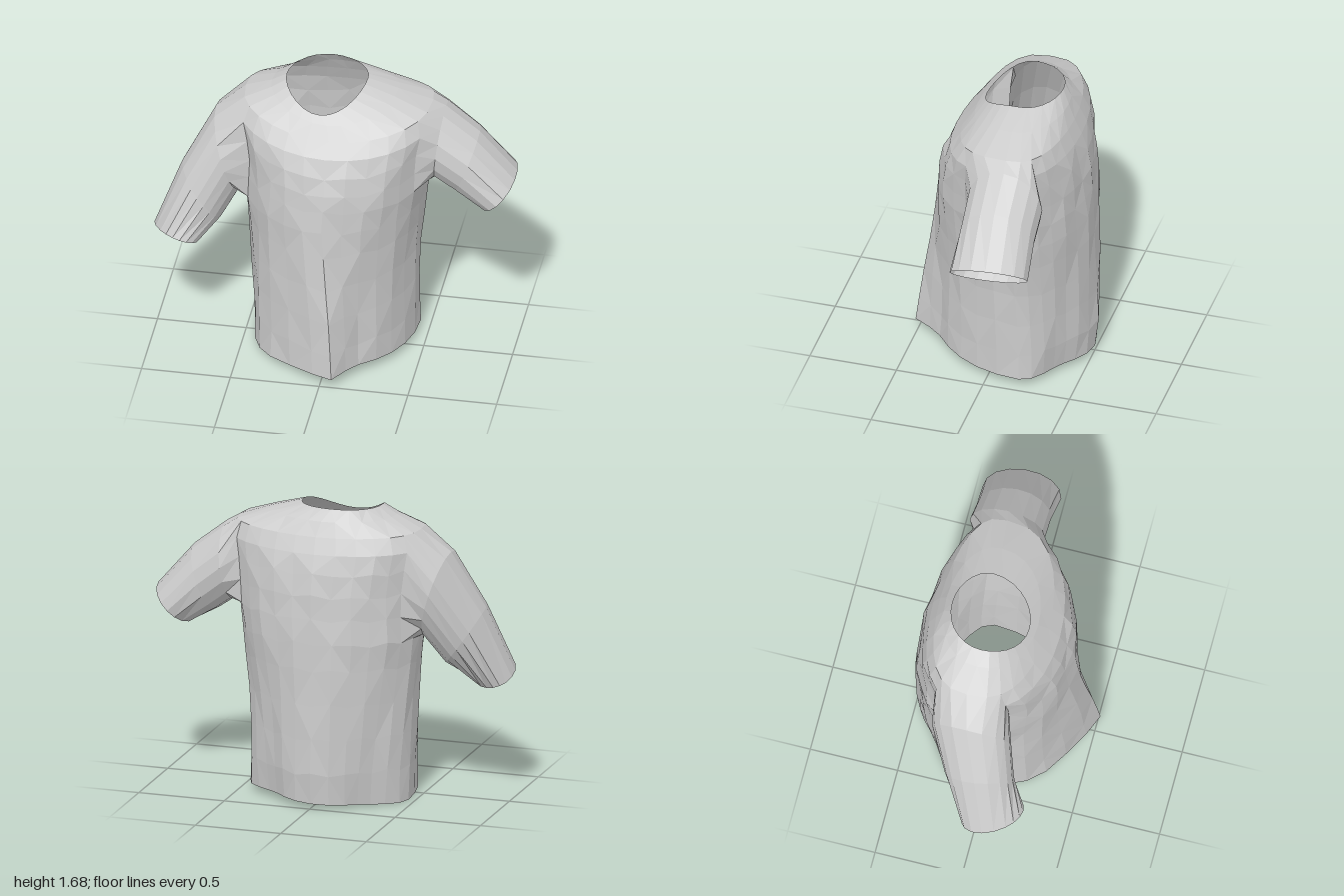
import * as THREE from 'three';

const N = 28; // columns around the body

// Body rings, hem to neckline:
// [y at side, y at front, y at back, x min, x max, z back, z front, z of sides, front fold depth, roundness (lower is boxier)]
const RINGS = [
  [0.02, 0.06, 0.03, -0.46, 0.45, -0.50, 0.39, -0.17, 0.125, 1],
  [0.20, 0.20, 0.20, -0.465, 0.45, -0.515, 0.385, -0.17, 0.115, 1],
  [0.40, 0.40, 0.40, -0.475, 0.45, -0.51, 0.38, -0.16, 0.10, 1],
  [0.60, 0.60, 0.60, -0.485, 0.455, -0.505, 0.38, -0.15, 0.07, 1],
  [0.80, 0.80, 0.80, -0.50, 0.475, -0.50, 0.385, -0.14, 0.035, 1],
  [0.95, 0.95, 0.95, -0.515, 0.49, -0.495, 0.39, -0.13, 0.012, 0.95],
  [1.09, 1.08, 1.09, -0.51, 0.51, -0.485, 0.385, -0.125, 0, 0.9],
  [1.22, 1.18, 1.22, -0.51, 0.515, -0.475, 0.372, -0.125, 0, 0.85],
  [1.36, 1.28, 1.34, -0.53, 0.53, -0.455, 0.345, -0.125, 0, 0.78],
  [1.47, 1.38, 1.45, -0.55, 0.55, -0.425, 0.30, -0.125, 0, 0.72],
  [1.56, 1.46, 1.54, -0.52, 0.53, -0.385, 0.235, -0.12, 0, 0.72],
  [1.625, 1.53, 1.62, -0.37, 0.34, -0.345, 0.18, -0.10, 0, 0.9],
  [1.675, 1.57, 1.685, -0.285, 0.165, -0.30, 0.14, -0.10, 0, 1],
];

// Share of the front fold carried by each column, and its sideways shift
const FOLD = { 5: [0.05, 0], 6: [0.3, 0.03], 7: [1, 0.06], 8: [0.65, 0.05], 9: [0.2, 0.02] };

function bodyPoint(row, col) {
  const [yS, yF, yB, x0, x1, zB, zF, zSide, fold, round] = RINGS[row];
  const c = (col + N) % N;
  const a = (c / N) * Math.PI * 2;
  const cos = Math.cos(a), sin = Math.sin(a);
  const zc = zSide - 0.02 * cos;
  const [share, shift] = FOLD[c] || [0, 0];
  // slight cloth unevenness below the shoulders
  const w = row > 0 && row < 9 ? 0.006 * Math.sin(row * 5.3 + c * 3.7) : 0;
  // toward the hem the back corners narrow and the right front corner fills out
  const corner = sin < 0 ? -0.19 : cos < 0 ? 0.08 : 0;
  const k = 1 + corner * Math.sin(2 * a) ** 2 * Math.max(0, 1 - yS / 0.95);
  const depth = Math.sign(sin) * Math.abs(sin) ** round * k;
  return new THREE.Vector3(
    (x0 + x1) / 2 + ((x1 - x0) / 2 + w) * cos * k + (shift * fold) / 0.1,
    yS + ((sin > 0 ? yF : yB) - yS) * sin * sin + (row === 0 ? 0.02 * cos : w * 2),
    zc + depth * ((sin > 0 ? zF - zc : zc - zB) + w) + fold * share
  );
}

// Armholes: centre column, direction to the front, half width in columns, ring range
const ARMHOLES = [
  { side: 'left', mid: 0, dir: 1, half: 2, low: 6, high: 10 },
  { side: 'right', mid: N / 2, dir: -1, half: 2, low: 5, high: 10 },
];

// Sleeve rings from shoulder to cuff: [centre, axis to the front, axis to the outside]
const SLEEVES = {
  left: [
    [[0.575, 1.30, -0.15], [0, 0, 0.215], [0.025, 0.22, 0]],
    [[0.72, 1.19, -0.15], [0.01, 0, 0.21], [0.07, 0.18, 0]],
    [[0.90, 1.025, -0.15], [0.02, 0, 0.22], [0.10, 0.10, -0.01]],
  ],
  right: [
    [[-0.605, 1.185, -0.05], [0, 0, 0.225], [-0.075, 0.245, -0.01]],
    [[-0.74, 0.94, 0.03], [0.02, 0.02, 0.19], [-0.115, 0.16, 0]],
    [[-0.868, 0.70, 0.14], [0.025, 0.05, 0.16], [-0.13, 0.025, -0.03]],
  ],
};

function inArmhole(row, col) {
  return ARMHOLES.some((h) => {
    // distance from the middle of the quad to the centre column, around the body
    const d = Math.abs(col + 0.5 - h.mid);
    return row >= h.low && row < h.high && Math.min(d, N - d) < h.half;
  });
}

function makeMesh(name, points, index) {
  const geo = new THREE.BufferGeometry().setFromPoints(points);
  geo.setIndex(index);
  geo.computeVertexNormals();
  const mat = new THREE.MeshStandardMaterial({ color: 0xcccccc, flatShading: true, side: THREE.DoubleSide });
  const mesh = new THREE.Mesh(geo, mat);
  mesh.name = name;
  return mesh;
}

// Body: rings joined by quads, left open at hem, neckline and armholes
function makeBody() {
  const points = [], index = [];
  for (let r = 0; r < RINGS.length; r++) for (let c = 0; c < N; c++) points.push(bodyPoint(r, c));
  for (let r = 0; r < RINGS.length - 1; r++) {
    for (let c = 0; c < N; c++) {
      if (inArmhole(r, c)) continue;
      const a = r * N + c, b = r * N + ((c + 1) % N), d = a + N, e = b + N;
      if ((r + c) % 2) index.push(a, d, e, a, e, b);
      else index.push(a, d, b, b, d, e);
    }
  }
  return makeMesh('body', points, index);
}

// Sleeve: starts on the armhole edge and runs through the sleeve rings
function makeSleeve(h) {
  const loop = [], angles = [];
  const cols = h.half * 2, rows = h.high - h.low;
  const edge = (steps, start, at) => {
    for (let i = 0; i < steps; i++) {
      loop.push(at(i));
      angles.push(THREE.MathUtils.degToRad(start + (90 * i) / steps));
    }
  };
  const p = (row, k) => bodyPoint(row, h.mid + h.dir * k);
  edge(cols, -135, (i) => p(h.low, i - h.half));
  edge(rows, -45, (i) => p(h.low + i, h.half));
  edge(cols, 45, (i) => p(h.high, h.half - i));
  edge(rows, 135, (i) => p(h.high - i, -h.half));

  const n = loop.length, points = [...loop], index = [];
  for (const [centre, front, out] of SLEEVES[h.side]) {
    for (const a of angles) {
      points.push(new THREE.Vector3(...centre)
        .addScaledVector(new THREE.Vector3(...front), Math.cos(a))
        .addScaledVector(new THREE.Vector3(...out), Math.sin(a)));
    }
  }
  for (let r = 0; r < SLEEVES[h.side].length; r++) {
    for (let j = 0; j < n; j++) {
      const a = r * n + j, b = r * n + ((j + 1) % n), d = a + n, e = b + n;
      if (h.dir > 0) index.push(a, d, e, a, e, b);
      else index.push(a, e, d, a, b, e);
    }
  }
  return makeMesh(h.side + 'Sleeve', points, index);
}

export function createModel() {
  const shirt = new THREE.Group();
  shirt.name = 'shirt';
  shirt.add(makeBody(), ...ARMHOLES.map(makeSleeve));
  return shirt;
}
